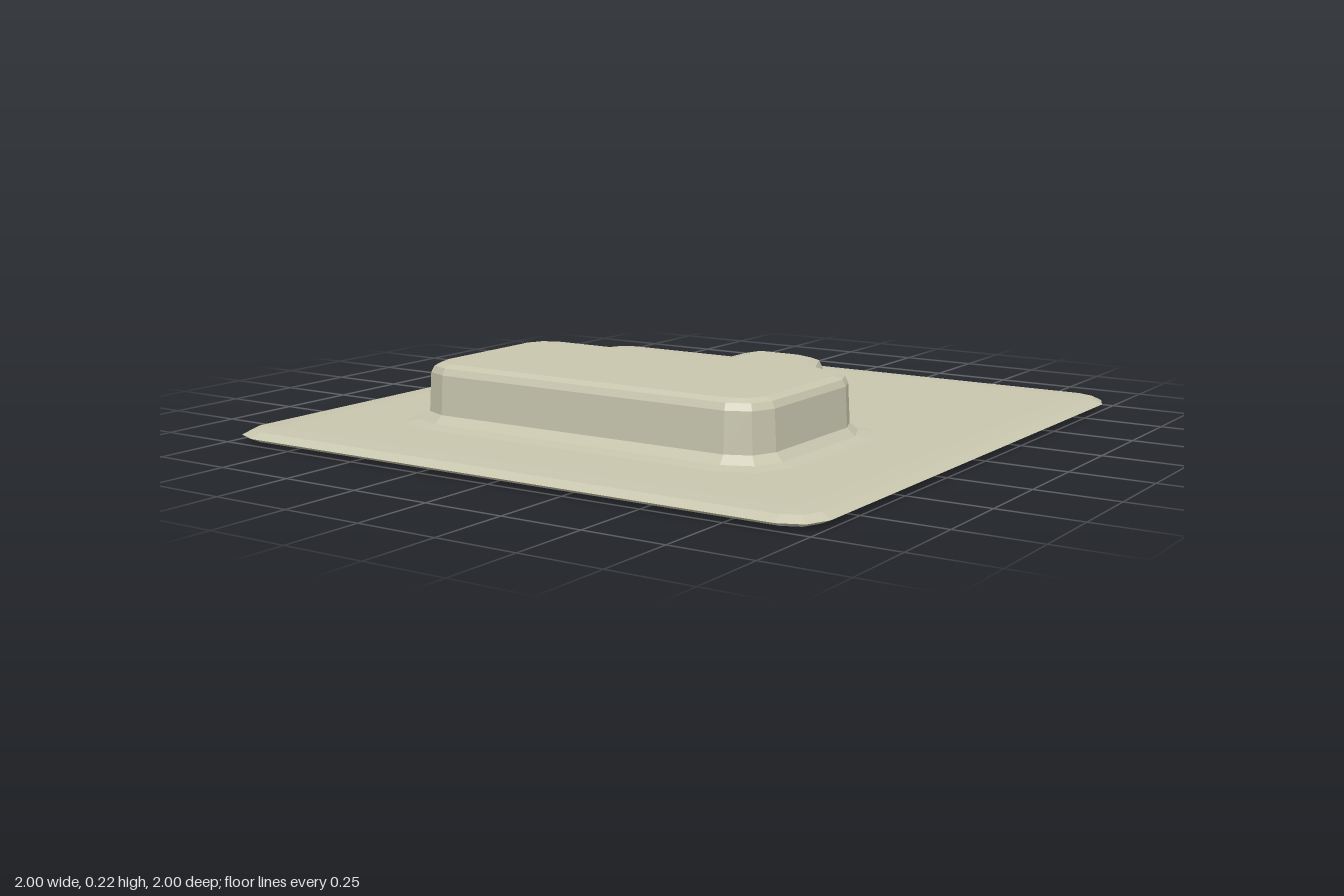
import * as THREE from 'three';

const stone = new THREE.MeshStandardMaterial({ color: 0xc8c6ae, flatShading: true });
stone.name = 'pale stone';

// Faceted surface through rows of points; rows run upward, columns run along the path
function skin(rows, closed) {
  const n = rows[0].length, pos = [];
  for (let r = 0; r < rows.length - 1; r++) {
    for (let i = 0; i < (closed ? n : n - 1); i++) {
      const j = (i + 1) % n;
      const a = rows[r][i], b = rows[r][j], c = rows[r + 1][j], d = rows[r + 1][i];
      pos.push(...a, ...b, ...c, ...a, ...c, ...d);
    }
  }
  const g = new THREE.BufferGeometry();
  g.setAttribute('position', new THREE.Float32BufferAttribute(pos, 3));
  g.computeVertexNormals();
  return g;
}

// Mitred outward direction at each corner of an [x, z] outline
function miters(outline) {
  const n = outline.length;
  const normal = (a, b) => new THREE.Vector2(a[1] - b[1], b[0] - a[0]).normalize();
  return outline.map((p, i) => {
    const n1 = normal(outline[(i + n - 1) % n], p), n2 = normal(p, outline[(i + 1) % n]);
    const m = n1.clone().add(n2);
    return m.divideScalar(1 + n1.dot(n2));
  });
}

const loops = (outline, dirs, profile) => profile.map(([off, y]) =>
  outline.map(([x, z], i) => [x + dirs[i].x * off, y, z + dirs[i].y * off]));

// Flat lid over a loop of points
function cap(loop, down) {
  const g = new THREE.ShapeGeometry(new THREE.Shape(loop.map(p => new THREE.Vector2(p[0], down ? p[2] : -p[2]))));
  g.rotateX(down ? Math.PI / 2 : -Math.PI / 2);
  return g.translate(0, loop[0][1], 0);
}

export function createModel() {
  const model = new THREE.Group();
  const add = (name, geometry) => {
    const mesh = new THREE.Mesh(geometry, stone);
    mesh.name = name;
    model.add(mesh);
  };

  // Thin ground plate with clipped corners and a soft rim
  const plate = [
    [-0.97, 0.97], [-0.9, 1], [0.9, 1], [0.97, 0.97], [1, 0.9], [1, -0.9],
    [0.97, -0.97], [0.9, -1], [-0.9, -1], [-0.97, -0.97], [-1, -0.9], [-1, 0.9],
  ];
  const plateRows = loops(plate, miters(plate),
    [[-0.1, 0], [-0.03, 0.006], [0, 0.02], [-0.03, 0.036], [-0.1, 0.04]]);
  add('plateRim', skin(plateRows, true));
  add('plateTop', cap(plateRows[4], false));
  add('plateUnderside', cap(plateRows[0], true));

  // Raised platform, from its flared foot to its rounded top edge
  const platform = [
    [-0.57, 0.57], [-0.5, 0.6], [0.5, 0.6], [0.57, 0.57], [0.6, 0.5], [0.6, 0.1],
    [0.57, 0.03], [0.43, -0.04], [0.37, -0.17], [0.29, -0.2], [0.15, -0.2],
    [0.15, 0], [-0.05, 0], [-0.5, 0], [-0.57, 0.03], [-0.6, 0.1], [-0.6, 0.5],
  ];
  const dirs = miters(platform);
  dirs[10].set(0, -1); // flush joint with the ramp
  dirs[11].set(0, 0);
  dirs[12].set(0, -1);
  const platformRows = loops(platform, dirs, [
    [0.09, 0.039], [0.03, 0.046], [0.006, 0.07], [0, 0.19], [-0.01, 0.21], [-0.035, 0.22],
  ]);
  add('platformWalls', skin(platformRows, true));
  add('platformTop', cap(platformRows[5], false));

  // Ramp descending along the back wall; each station is [x, height]
  const stations = [[0.15, 0.22], [0.09, 0.207], [-0.25, 0.07], [-0.33, 0.047], [-0.42, 0.039]];
  const sections = stations.map(([x, h]) => {
    const s = (h - 0.039) / 0.181, t = 1 - s;
    return [
      [-0.29, 0.039], [-0.23, 0.039 + 0.007 * s], [-0.206, 0.039 + 0.031 * s],
      [-0.2, h - 0.03 * s], [-0.19, h - 0.01 * s], [-0.165, h],
      [-0.04, h], [-0.012, h + 0.008 * t], [0.002, h + 0.035 * t],
    ].map(([z, y]) => [x, y, z]);
  });
  const rampRows = sections[0].map((_, r) => sections.map(section => section[r]));
  add('ramp', skin(rampRows, false));

  return model;
}
